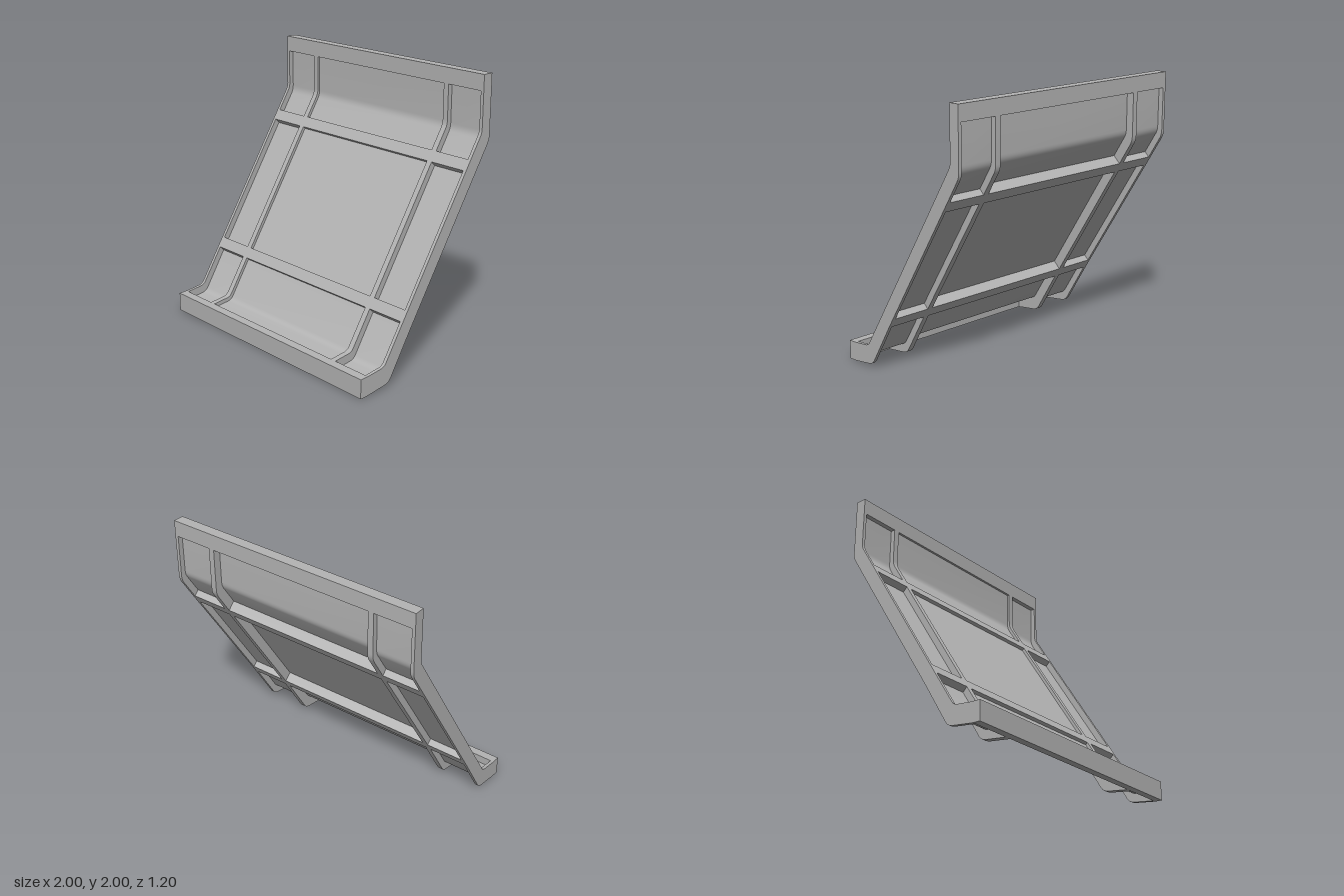
import * as THREE from 'three';
import { toCreasedNormals } from 'three/addons/utils/BufferGeometryUtils.js';

// Stations along the bent profile: [front z, front y, back z, back y]
const lipFront = [0.6, 0.14, 0.6, 0];
const lipBack = [0.535, 0.142, 0.543, 0.002];
const lowerBend = [0.385, 0.16, 0.34, 0.03];
const upperBend = [-0.52, 1.6, -0.6, 1.54];
const railLow = [-0.52, 1.885, -0.6, 1.885];
const railTop = [-0.52, 2, -0.6, 2];

// Station on the slope at a given front height
function slope(y) {
  const z = 0.385 - (y - 0.16) * 0.6285;
  return [z, y, z - 0.073, y - 0.073];
}

const mix = (p, q, t) => p.map((v, i) => v + (q[i] - v) * t);

// Slightly rounded bend between two neighbouring stations
function bend(prev, corner, next, r) {
  const dist = (p) => Math.hypot(p[0] - corner[0], p[1] - corner[1]);
  const a = mix(corner, prev, r / dist(prev));
  const b = mix(corner, next, r / dist(next));
  return [0, 0.25, 0.5, 0.75, 1].map((t) => mix(mix(a, corner, t), mix(corner, b, t), t));
}

// Solid strip following stations; d0 and d1 are depth fractions from front to back
function strip(stations, x0, x1, d0, d1) {
  const pos = [];
  const rings = stations.map(([fz, fy, bz, by]) => {
    const at = (x, d) => [x, fy + (by - fy) * d, fz + (bz - fz) * d];
    return [at(x0, d0), at(x1, d0), at(x1, d1), at(x0, d1)];
  });
  const quad = (a, b, c, d) => pos.push(...a, ...b, ...c, ...a, ...c, ...d);
  for (let i = 0; i < rings.length - 1; i++) {
    for (let k = 0; k < 4; k++) {
      const n = (k + 1) % 4;
      quad(rings[i][k], rings[i][n], rings[i + 1][n], rings[i + 1][k]);
    }
  }
  const s = rings[0];
  const e = rings[rings.length - 1];
  quad(s[0], s[3], s[2], s[1]);
  quad(e[0], e[1], e[2], e[3]);
  const geo = new THREE.BufferGeometry();
  geo.setAttribute('position', new THREE.Float32BufferAttribute(pos, 3));
  return toCreasedNormals(geo, 0.4);
}

export function createModel() {
  const group = new THREE.Group();
  const grey = new THREE.MeshStandardMaterial({ color: 0xb4b4b4 });
  grey.name = 'plain grey';

  const add = (name, ...args) => {
    const mesh = new THREE.Mesh(strip(...args), grey);
    mesh.name = name;
    group.add(mesh);
  };

  const lowBar = [slope(0.43), slope(0.5)];
  const highBar = [slope(1.36), slope(1.43)];

  // Full-width rails
  add('frontLip', [lipFront, lipBack], -1, 1, 0, 1);
  add('lowerCrossbar', lowBar, -1, 1, 0, 1);
  add('upperCrossbar', highBar, -1, 1, 0, 1);
  add('topRail', [railLow, railTop], -1, 1, 0, 1);

  // Three rows of openings between the rails
  const rows = {
    lower: [lipBack, ...bend(lipBack, lowerBend, lowBar[0], 0.03), lowBar[0]],
    middle: [lowBar[1], highBar[0]],
    upper: [highBar[1], ...bend(highBar[1], upperBend, railLow, 0.03), railLow],
  };

  for (const [row, path] of Object.entries(rows)) {
    // Shallow centre panel
    add(row + 'CentrePanel', path, -0.645, 0.645, 0.22, 0.29);
    for (const [side, s] of [['left', 1], ['right', -1]]) {
      const span = (a, b) => (s > 0 ? [a, b] : [-b, -a]);
      // Upright bars and the deeper side panels
      add(side + row + 'InnerPost', path, ...span(0.645, 0.688), 0, 1);
      add(side + row + 'OuterPost', path, ...span(0.975, 1), 0, 1);
      add(side + row + 'SidePanel', path, ...span(0.688, 0.975), 0.45, 0.52);
    }
  }
  return group;
}
